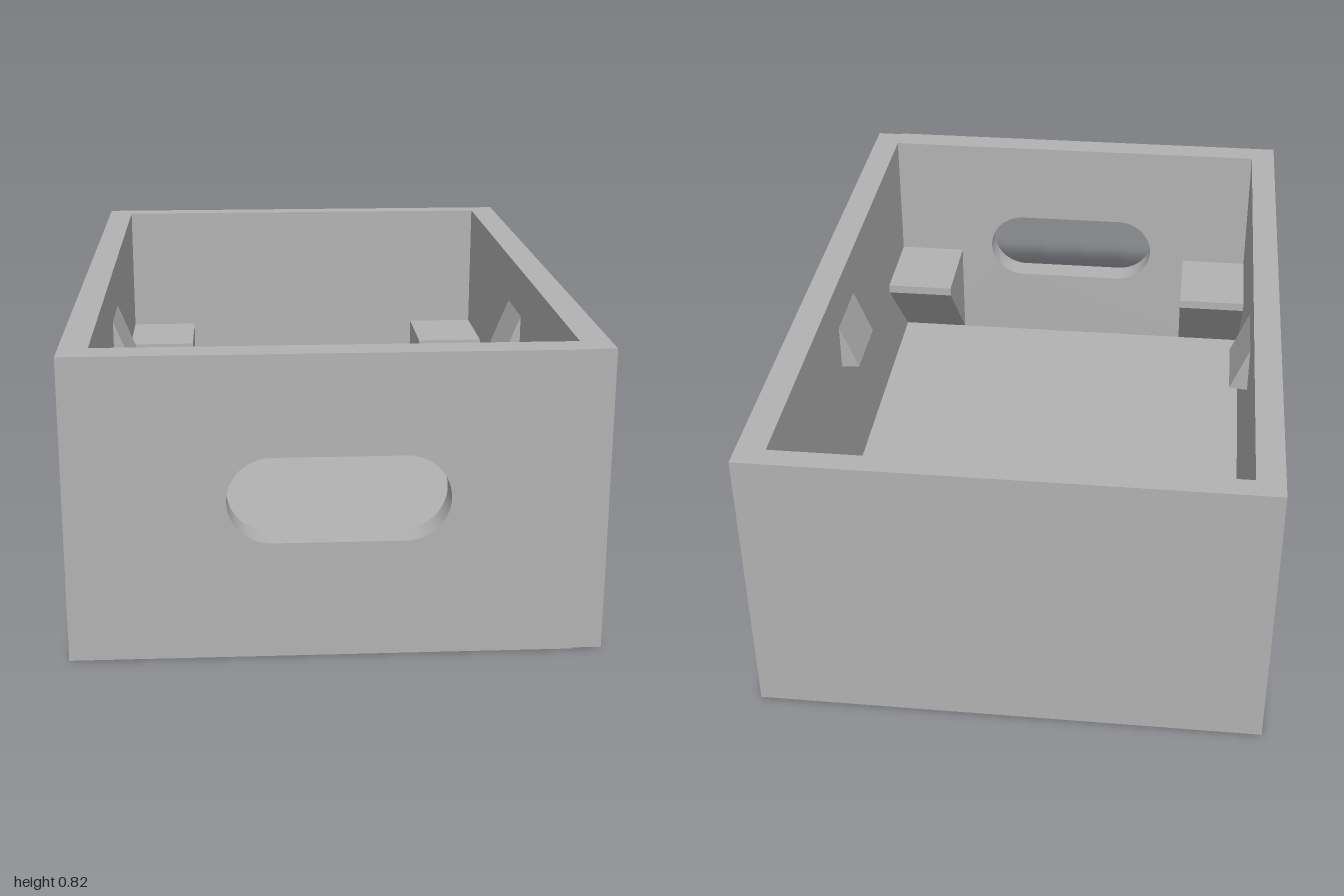
import * as THREE from 'three';
import { toCreasedNormals } from 'three/addons/utils/BufferGeometryUtils.js';

export function createModel() {
  const group = new THREE.Group();
  const grey = new THREE.MeshStandardMaterial({ color: 0xb2b2b2 });
  grey.name = 'grey';

  // Outer size and inner faces of the box
  const W = 0.7, D = 1, H = 0.82, floorY = 0.08;
  const inL = -0.624, inR = 0.62, inBack = -0.937, inFront = 0.918;

  const add = (name, geometry) => {
    const mesh = new THREE.Mesh(geometry, grey);
    mesh.name = name;
    group.add(mesh);
    return mesh;
  };
  const slab = (name, x0, x1, y0, y1, z0, z1) =>
    add(name, new THREE.BoxGeometry(x1 - x0, y1 - y0, z1 - z0))
      .position.set((x0 + x1) / 2, (y0 + y1) / 2, (z0 + z1) / 2);
  const prism = (points, depth) => new THREE.ExtrudeGeometry(
    new THREE.Shape(points.map(([x, y]) => new THREE.Vector2(x, y))),
    { depth, bevelEnabled: false });

  // Floor and plain walls; one side wall sits slightly behind the front panel
  slab('floor', inL, inR, 0, floorY, inBack, inFront);
  slab('rightWall', -W, inL, 0, H, -D, inFront);
  slab('leftWall', inR, W, 0, H, -D, 0.994);
  slab('backWall', inL, inR, 0, H, -D, inBack);

  // Front wall with a rounded hand slot
  const front = new THREE.Shape();
  front.moveTo(-W, 0);
  front.lineTo(inR, 0);
  front.lineTo(inR, H);
  front.lineTo(-W, H);
  front.closePath();
  const r = 0.116, cy = 0.433, cxL = -0.169, cxR = 0.175;
  const slot = new THREE.Path();
  slot.absarc(cxR, cy, r, -Math.PI / 2, Math.PI / 2, false);
  slot.absarc(cxL, cy, r, Math.PI / 2, Math.PI * 1.5, false);
  slot.closePath();
  front.holes.push(slot);
  const frontGeo = new THREE.ExtrudeGeometry(front, { depth: D - inFront, bevelEnabled: false, curveSegments: 24 });
  add('frontWall', toCreasedNormals(frontGeo, 0.6)).position.z = inFront;

  // Corner brackets: flat top, thin lip, sloping underside
  const reach = 0.287, bracketW = 0.219, topY = 0.405;
  for (const [end, wall, dir] of [['back', inBack, 1], ['front', inFront, -1]]) {
    const profile = [[0, floorY], [reach, 0.377], [reach, topY], [0, topY]]
      .map(([d, y]) => [wall + dir * d, y]);
    for (const [side, x] of [['Right', inL + bracketW], ['Left', inR]]) {
      const geo = prism(profile, bracketW);
      geo.rotateY(-Math.PI / 2);
      add(`${end}${side}Bracket`, geo).position.x = x;
    }
  }

  // Wedge clips halfway along the side walls
  for (const [name, wall, dir] of [['rightClip', inL, 1], ['leftClip', inR, -1]]) {
    const profile = [[0, 0.54], [0.054, 0.545], [0, 0.68]].map(([d, y]) => [wall + dir * d, y]);
    add(name, prism(profile, 0.215)).position.z = -0.11;
  }

  return group;
}
